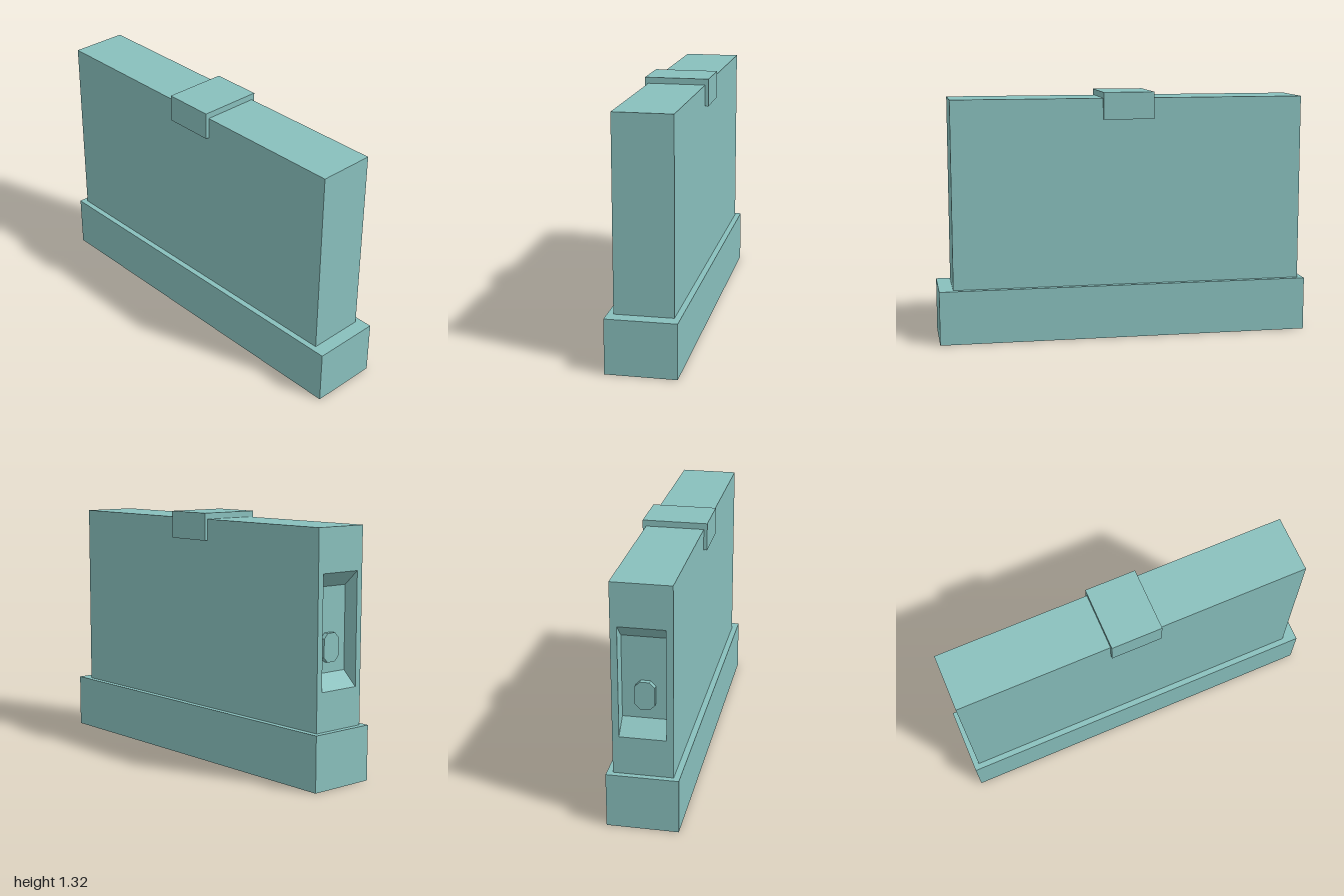
import * as THREE from 'three';

const teal = new THREE.MeshStandardMaterial({ color: 0x88bfbc, side: THREE.DoubleSide });
teal.name = 'teal';

// Box given by its limits; faces listed in skip are left open (0 +x, 1 -x, 2 +y, 3 -y, 4 +z, 5 -z).
function box(x, y0, y1, z0, z1, skip = []) {
  const g = new THREE.BoxGeometry(2 * x, y1 - y0, z1 - z0);
  const index = Array.from(g.index.array).filter((_, i) => !skip.includes(Math.floor(i / 6)));
  g.setIndex(index);
  g.clearGroups();
  g.translate(0, (y0 + y1) / 2, (z0 + z1) / 2);
  return g;
}

function rectangle(target, x, y0, y1) {
  target.moveTo(-x, y0);
  target.lineTo(x, y0);
  target.lineTo(x, y1);
  target.lineTo(-x, y1);
  target.closePath();
  return target;
}

export function createModel() {
  const model = new THREE.Group();
  model.name = 'case';
  const add = (name, geometry) => {
    const mesh = new THREE.Mesh(geometry, teal);
    mesh.name = name;
    model.add(mesh);
  };

  const baseTop = 0.287, top = 1.29, front = 0.925, back = -0.97;
  const holeX = 0.118, holeY0 = 0.487, holeY1 = 1.067, depth = 0.08, slope = 0.075;

  // Hollow base, open underneath
  add('base', box(0.183, 0, baseTop, -1, 1, [3]));

  // Main slab, its back closed by a panel with an opening
  add('body', box(0.152, baseTop, top, back, front, [3, 5]));
  const panel = rectangle(new THREE.Shape(), 0.152, baseTop, top);
  panel.holes.push(rectangle(new THREE.Path(), holeX, holeY0, holeY1));
  const panelGeometry = new THREE.ShapeGeometry(panel);
  panelGeometry.rotateY(Math.PI);
  panelGeometry.translate(0, 0, back);
  add('backPanel', panelGeometry);

  // Recess with sloping top and bottom, narrowing towards its floor
  const recess = box(holeX, holeY0, holeY1, back, back + depth, [5]);
  const p = recess.attributes.position;
  const middle = (holeY0 + holeY1) / 2;
  for (let i = 0; i < p.count; i++) {
    if (p.getZ(i) > back + depth / 2) p.setY(i, p.getY(i) - Math.sign(p.getY(i) - middle) * slope);
  }
  recess.computeVertexNormals();
  add('recess', recess);

  // Chamfered button on the recess floor
  const w = 0.05, h = 0.073, c = 0.026;
  const outline = new THREE.Shape([
    [-w, -h + c], [-w + c, -h], [w - c, -h], [w, -h + c],
    [w, h - c], [w - c, h], [-w + c, h], [-w, h - c],
  ].map(([x, y]) => new THREE.Vector2(x, y)));
  const button = new THREE.ExtrudeGeometry(outline, { depth: 0.025, bevelEnabled: false });
  button.translate(0, 0.69, back + depth - 0.025);
  add('button', button);

  // Clip straddling the top edge
  add('clip', box(0.17, 1.178, 1.322, -0.152, 0.12));

  return model;
}
